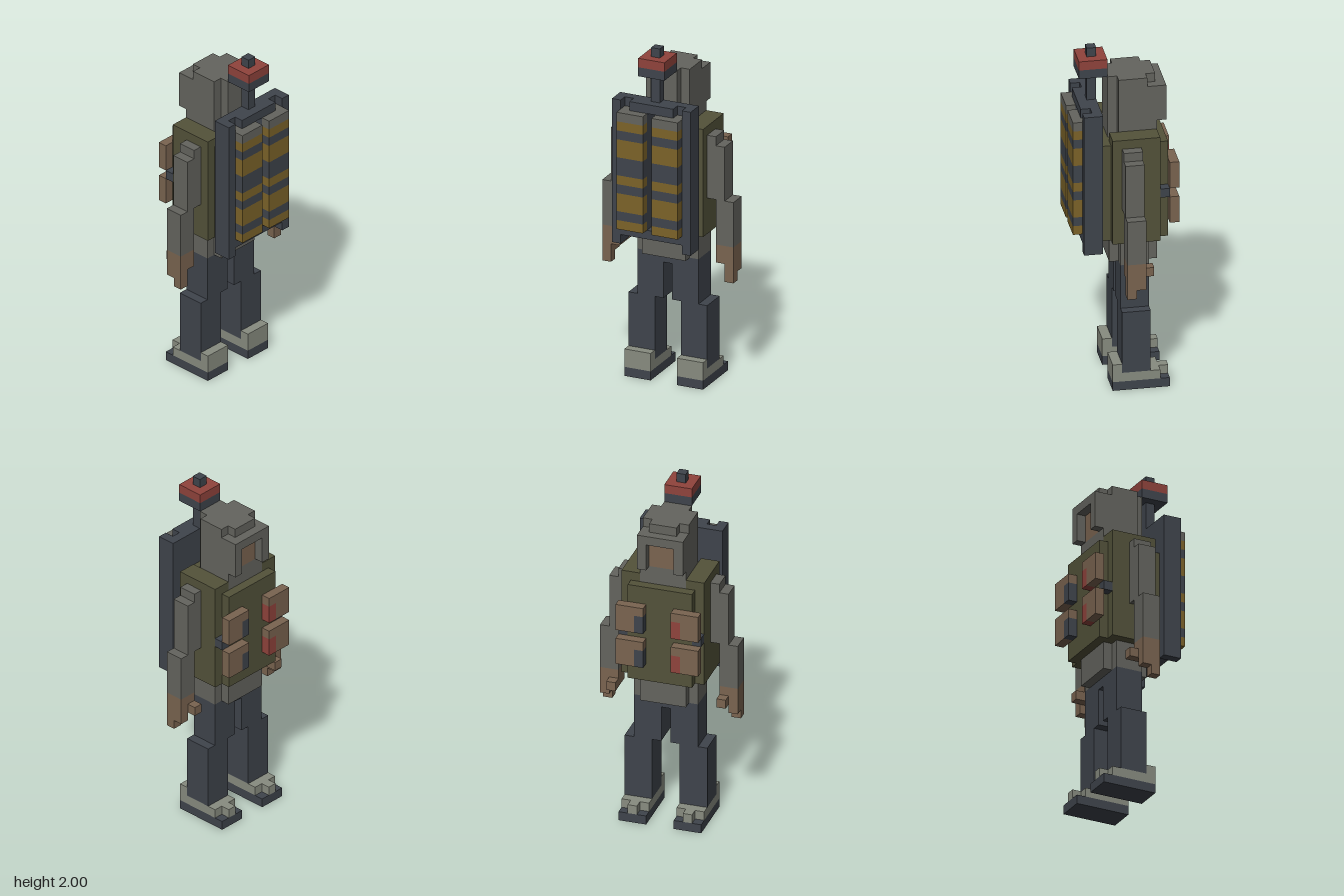
import * as THREE from 'three';

const V = 2 / 38; // one grid cell; the figure is 15 x 38 x 11 cells

const paint = (name, color) => {
  const m = new THREE.MeshStandardMaterial({ color });
  m.name = name;
  return m;
};

export function createModel() {
  const grey = paint('grey cloth', 0x64645e);
  const olive = paint('olive vest', 0x53523a);
  const dark = paint('dark blue grey', 0x3f444c);
  const brown = paint('brown skin and leather', 0x7a6450);
  const yellow = paint('mustard stripe', 0x7c6329);
  const red = paint('red', 0x90433c);
  const pale = paint('pale shoe', 0x888c80);

  const model = new THREE.Group();
  model.name = 'backpackFigure';
  const group = (name) => {
    const g = new THREE.Group();
    g.name = name;
    model.add(g);
    return g;
  };

  // A block between two grid corners
  const block = (parent, name, mat, [x0, x1], [y0, y1], [z0, z1]) => {
    const mesh = new THREE.Mesh(new THREE.BoxGeometry((x1 - x0) * V, (y1 - y0) * V, (z1 - z0) * V), mat);
    mesh.position.set(((x0 + x1) / 2 - 7.5) * V, ((y0 + y1) / 2) * V, ((z0 + z1) / 2 - 5.5) * V);
    mesh.name = name;
    parent.add(mesh);
  };
  // The same block on both sides
  const pair = (parent, name, mat, [x0, x1], y, z) => {
    block(parent, name + 'Right', mat, [x0, x1], y, z);
    block(parent, name + 'Left', mat, [15 - x1, 15 - x0], y, z);
  };

  // Shoes and legs
  const legs = group('legs');
  pair(legs, 'sole', dark, [3, 6], [0, 1], [1, 7]);
  pair(legs, 'shoe', pale, [3, 6], [1, 2], [2, 6]);
  pair(legs, 'heel', pale, [3, 6], [1, 3], [6, 7]);
  pair(legs, 'toe', pale, [4, 5], [1, 2], [1, 2]);
  pair(legs, 'lowerLeg', dark, [3, 6], [2, 9], [3, 6]);
  pair(legs, 'upperLeg', dark, [4, 7], [9, 13], [3, 6]);
  block(legs, 'hips', dark, [4, 11], [13, 14], [3, 6]);

  // Torso and vest
  const torso = group('torso');
  block(torso, 'shirtHem', grey, [5, 10], [14, 17], [2, 7]);
  pair(torso, 'shirtSide', grey, [4, 5], [14, 17], [3, 6]);
  block(torso, 'vest', olive, [5, 10], [17, 28], [2, 7]);
  pair(torso, 'vestShoulder', olive, [3, 5], [17, 29], [2, 7]);
  block(torso, 'chestPanel', olive, [4, 11], [17, 28], [1, 2]);
  block(torso, 'backPanel', olive, [4, 11], [17, 28], [7, 8]);
  pair(torso, 'strapEnd', dark, [3, 4], [22, 23], [1, 2]);

  // Chest pouches, each with a coloured insert on its inner lower corner
  const pouches = group('pouches');
  for (const y of [19, 23]) {
    pair(pouches, 'pouch', brown, [3, 5], [y, y + 3], [0, 1]);
    pair(pouches, 'pouchFlap', brown, [5, 6], [y + 2, y + 3], [0, 1]);
    block(pouches, 'insertRight', red, [5, 6], [y, y + 2], [0, 1]);
    block(pouches, 'insertLeft', dark, [9, 10], [y, y + 2], [0, 1]);
  }

  // Arms and hands
  const arms = group('arms');
  pair(arms, 'shoulder', grey, [2, 3], [27, 28], [4, 6]);
  pair(arms, 'upperArm', grey, [1, 3], [21, 27], [4, 6]);
  pair(arms, 'forearm', grey, [0, 2], [16, 21], [4, 6]);
  pair(arms, 'palm', brown, [0, 2], [14, 16], [4, 6]);
  pair(arms, 'fingers', brown, [0, 1], [13, 14], [4, 6]);
  pair(arms, 'fingertip', brown, [0, 1], [12, 13], [5, 6]);
  pair(arms, 'thumb', brown, [1, 2], [14, 15], [3, 4]);

  // Hooded head with a recessed face
  const head = group('head');
  block(head, 'neck', grey, [5, 10], [28, 30], [2, 6]);
  block(head, 'hood', grey, [5, 10], [30, 34], [3, 6]);
  block(head, 'hoodBack', grey, [6, 9], [28, 35], [6, 7]);
  block(head, 'hoodTop', grey, [5, 10], [34, 35], [3, 6]);
  block(head, 'hoodPeak', grey, [6, 9], [34, 35], [2, 3]);
  pair(head, 'hoodCheek', grey, [5, 6], [30, 34], [1, 3]);
  block(head, 'hoodBrow', grey, [6, 9], [33, 34], [1, 3]);
  block(head, 'face', brown, [6, 9], [30, 33], [2, 3]);

  // Backpack frame, open along the middle
  const pack = group('backpack');
  pair(pack, 'sideRail', dark, [3, 4], [16, 32], [8, 10]);
  block(pack, 'bottomBar', dark, [4, 11], [17, 18], [8, 10]);
  pair(pack, 'plateOuter', dark, [4, 5], [18, 32], [8, 9]);
  pair(pack, 'plateInner', dark, [5, 7], [18, 32], [8, 10]);
  block(pack, 'mastBase', dark, [7, 8], [31, 32], [8, 10]);

  // Striped tanks
  const bands = [
    [18, 19, yellow], [19, 20, dark], [20, 22, yellow], [22, 23, dark], [23, 24, yellow],
    [24, 26, dark], [26, 28, yellow], [28, 29, dark], [29, 30, yellow], [30, 31, grey],
  ];
  for (const [y0, y1, mat] of bands) {
    pair(pack, 'tankBand', mat, [4, 7], [y0, y1], [10, 11]);
    pair(pack, 'tankCore', mat, [4, 5], [y0, y1], [9, 10]);
  }

  // Beacon on a mast
  const beacon = group('beacon');
  block(beacon, 'mast', dark, [7, 8], [32, 35], [8, 9]);
  block(beacon, 'beaconBase', dark, [6, 9], [35, 36], [7, 10]);
  block(beacon, 'beaconLamp', red, [6, 9], [36, 37], [7, 10]);
  block(beacon, 'beaconKnob', dark, [7, 8], [37, 38], [8, 9]);

  return model;
}
